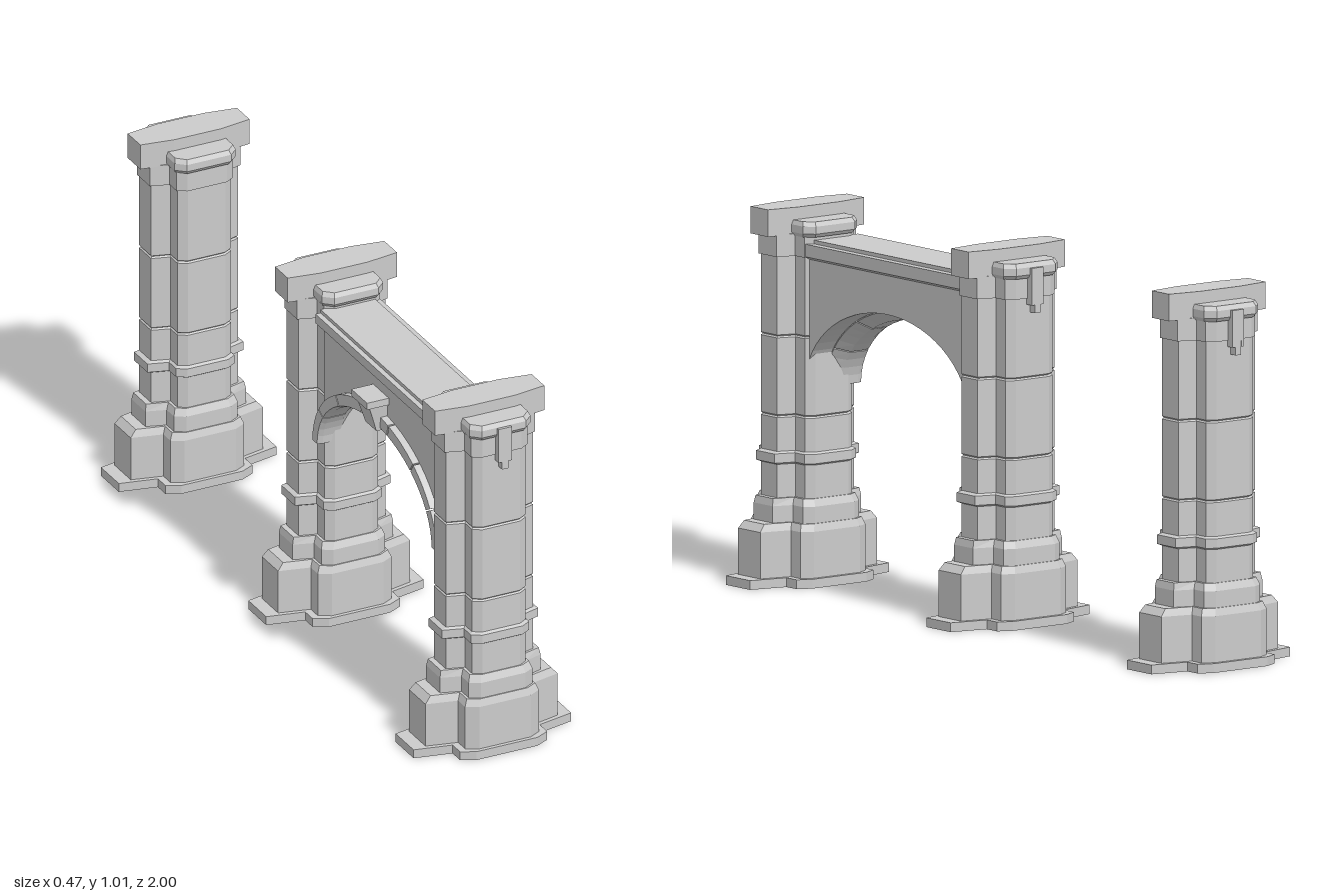
import * as THREE from 'three';

const stone = new THREE.MeshStandardMaterial({ color: 0xcccccc, flatShading: true });

// Skin a closed solid through a list of equal-length rings of [x, y, z] points
function loft(name, rings) {
  const pos = [];
  const tri = (a, b, c) => pos.push(...a, ...b, ...c);
  const n = rings[0].length;
  const centre = (r) => [0, 1, 2].map((k) => r.reduce((s, p) => s + p[k], 0) / n);
  const first = rings[0], last = rings[rings.length - 1];
  const c0 = centre(first), c1 = centre(last);
  for (let i = 0; i < n; i++) {
    const j = (i + 1) % n;
    for (let k = 0; k + 1 < rings.length; k++) {
      const a = rings[k], b = rings[k + 1];
      tri(a[i], b[i], a[j]);
      tri(a[j], b[i], b[j]);
    }
    tri(c0, first[i], first[j]);
    tri(c1, last[j], last[i]);
  }
  const g = new THREE.BufferGeometry();
  g.setAttribute('position', new THREE.Float32BufferAttribute(pos, 3));
  g.computeVertexNormals();
  const mesh = new THREE.Mesh(g, stone);
  mesh.name = name;
  return mesh;
}

// Mirror one quadrant of a plan outline into a full ring at height y
function mirrorRing(y, quarter) {
  const back = [...quarter].reverse();
  return [
    ...quarter.map(([x, z]) => [x, y, z]),
    ...back.map(([x, z]) => [-x, y, z]),
    ...quarter.map(([x, z]) => [-x, y, -z]),
    ...back.map(([x, z]) => [x, y, -z]),
  ];
}

// Cross plan: side arms reach X (half depth zw), front arms reach Z (half width xw)
const cross = ([y, X, zw, Z, xw]) =>
  mirrorRing(y, [[X, zw * 0.7], [xw, zw], [xw, Z * 0.86], [xw * 0.7, Z]]);

function band(y0, y1, ...dims) {
  return [[y0, ...dims], [y1, ...dims]];
}

function createPillar(ornamentSide) {
  const pillar = new THREE.Group();
  pillar.name = 'pillar';

  // Foot slab, chamfered base and plinth
  pillar.add(loft('base', [
    ...band(0, 0.025, 0.235, 0.075, 0.138, 0.13),
    ...band(0.025, 0.15, 0.197, 0.068, 0.127, 0.11),
    [0.17, 0.18, 0.062, 0.12, 0.102],
    ...band(0.17, 0.215, 0.15, 0.058, 0.117, 0.095),
    [0.235, 0.146, 0.054, 0.108, 0.088],
  ].map(cross)));

  // Shaft with a collar, two block joints and the neck under the cap
  const s = [0.13, 0.05, 0.105, 0.08];
  const groove = (y) => [[y - 0.004, ...s], [y, 0.126, 0.046, 0.101, 0.076], [y + 0.004, ...s]];
  pillar.add(loft('shaft', [
    [0.235, ...s],
    [0.325, ...s],
    ...band(0.33, 0.355, 0.143, 0.056, 0.113, 0.087),
    [0.36, ...s],
    ...groove(0.455),
    ...groove(0.67),
    [0.885, ...s],
    ...band(0.885, 0.945, 0.135, 0.054, 0.109, 0.084),
  ].map(cross)));

  // Cap: low slab front to back, tall slab side to side
  pillar.add(loft('lowerCap', [
    mirrorRing(0.94, [[0.086, 0.09], [0.062, 0.113]]),
    mirrorRing(0.95, [[0.091, 0.097], [0.066, 0.12]]),
    mirrorRing(0.97, [[0.091, 0.097], [0.066, 0.12]]),
    mirrorRing(0.982, [[0.086, 0.09], [0.062, 0.113]]),
  ]));
  const slab = [[0.163, 0.037], [0.07, 0.051]];
  pillar.add(loft('upperCap', [mirrorRing(0.942, slab), mirrorRing(1.015, slab)]));

  // Hanging stepped ornament
  const ornament = new THREE.Group();
  ornament.name = 'capOrnament';
  for (const [x, w, y0, y1] of [[0, 0.04, 0.885, 0.968], [-0.015, 0.01, 0.868, 0.885],
    [0.015, 0.01, 0.868, 0.885], [0, 0.018, 0.846, 0.885]]) {
    const m = new THREE.Mesh(new THREE.BoxGeometry(w, y1 - y0, 0.022), stone);
    m.name = 'ornamentBlock';
    m.position.set(x, (y0 + y1) / 2, ornamentSide * 0.117);
    ornament.add(m);
  }
  pillar.add(ornament);
  return pillar;
}

function createArch() {
  const arch = new THREE.Group();
  arch.name = 'arch';
  const mid = 0.43, spring = 0.53;
  // t = 0 is the inner curve, t = 1 the underside of the wall
  const at = (th, t) => [spring + (0.215 + 0.03 * t) * Math.sin(th),
    mid + (0.33 + 0.025 * t) * Math.cos(th)];

  // Wall with the arched opening
  const shape = new THREE.Shape();
  const end = 0.335;
  const th0 = Math.acos(end / 0.355);
  shape.moveTo(-end, 0.9);
  for (let i = 0; i <= 24; i++) {
    const [y, z] = at(Math.PI - th0 - (i / 24) * (Math.PI - 2 * th0), 1);
    shape.lineTo(z - mid, y);
  }
  shape.lineTo(end, 0.9);
  const wallGeo = new THREE.ExtrudeGeometry(shape, { depth: 0.155, bevelEnabled: false });
  wallGeo.rotateY(-Math.PI / 2);
  const wall = new THREE.Mesh(wallGeo, stone);
  wall.name = 'archWall';
  wall.position.set(0.07, 0, mid);
  arch.add(wall);

  // Cornice with a raised walkway strip
  const profile = [[-0.085, 0.87], [-0.11, 0.895], [-0.11, 0.922], [-0.095, 0.922], [-0.095, 0.932],
    [0.062, 0.932], [0.062, 0.922], [0.083, 0.922], [0.083, 0.888], [0.07, 0.88]];
  arch.add(loft('cornice', [mid - end, mid + end].map((z) => profile.map(([x, y]) => [x, y, z]))));

  // Curved stone blocks around the opening
  const section = [[-0.105, 1.3], [-0.105, 0.2], [-0.09, 0], [-0.04, 0], [0, 0.9], [0, 1.3]];
  const count = 7;
  for (let b = 0; b < count; b++) {
    const rings = [];
    for (let i = 0; i <= 4; i++) {
      const th = ((b + 0.015 + 0.97 * i / 4) / count) * Math.PI;
      rings.push(section.map(([x, t]) => [x, ...at(th, t)]));
    }
    arch.add(loft('archBlock', rings));
  }

  // Keystone on the left face
  const key = (y, x, h) => [[-0.08, y, mid - h], [-0.08, y, mid + h], [x, y, mid + h], [x, y, mid - h]];
  arch.add(loft('keystone', [key(0.742, -0.115, 0.032), key(0.79, -0.13, 0.037),
    key(0.82, -0.14, 0.04), key(0.82, -0.15, 0.046), key(0.84, -0.15, 0.046)]));
  return arch;
}

export function createModel() {
  const model = new THREE.Group();
  model.name = 'ruinedArcade';
  for (const [z, side] of [[0.862, 1], [0, -1], [-0.862, -1]]) {
    const p = createPillar(side);
    p.position.z = z;
    model.add(p);
  }
  model.add(createArch());
  return model;
}
